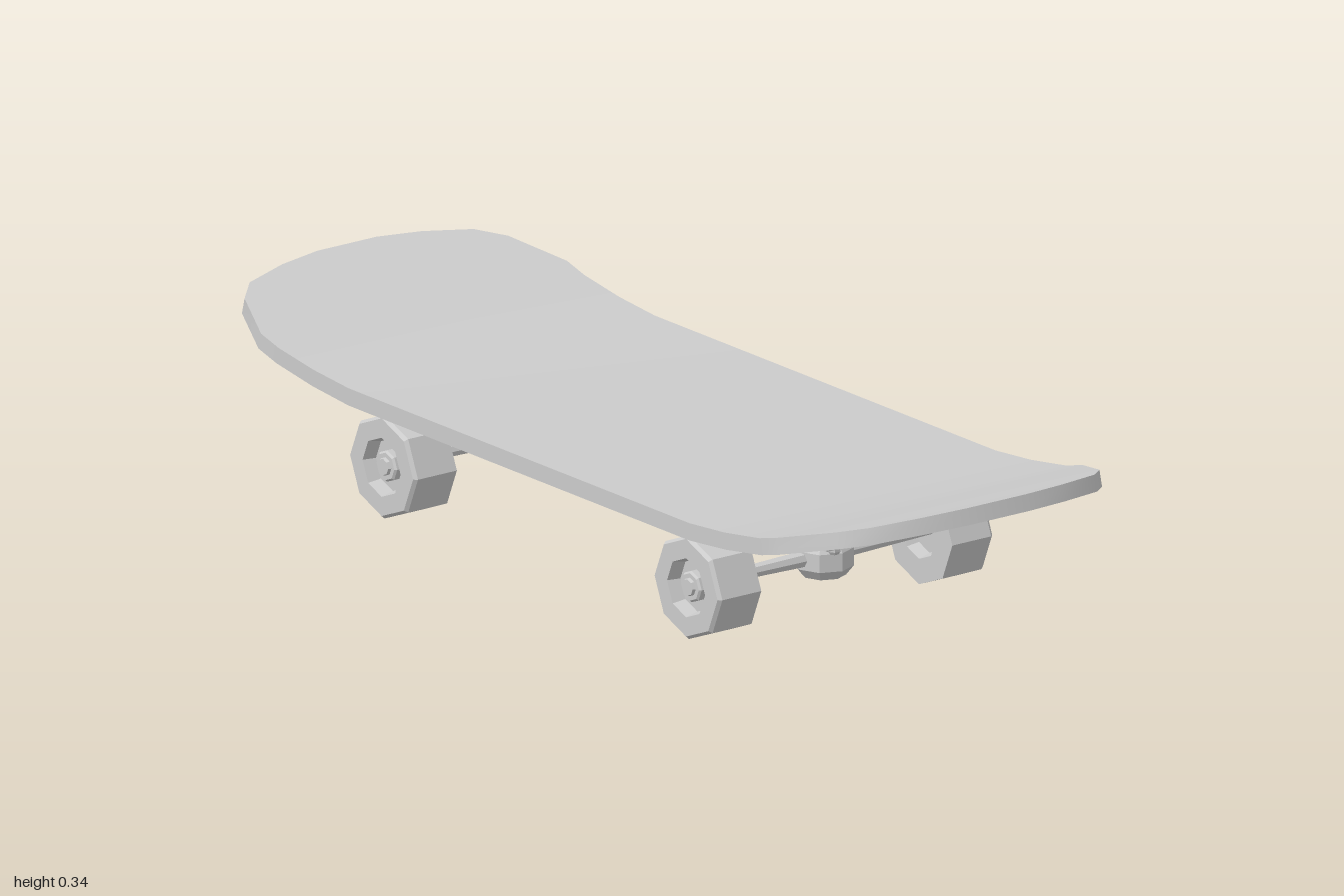
import * as THREE from 'three';
import { toCreasedNormals } from 'three/addons/utils/BufferGeometryUtils.js';

const smooth = new THREE.MeshStandardMaterial({ color: 0xcccccc });
const flat = new THREE.MeshStandardMaterial({ color: 0xcccccc, flatShading: true });

function add(parent, name, geometry, x = 0, y = 0, z = 0, material = flat) {
  const mesh = new THREE.Mesh(geometry, material);
  mesh.name = name;
  mesh.position.set(x, y, z);
  parent.add(mesh);
  return mesh;
}

function lathe(points, sides) {
  return new THREE.LatheGeometry(points.map(p => new THREE.Vector2(...p)), sides);
}

// Deck: four-cornered sections along x, narrowing and curling up at both ends
function deckGeometry() {
  // x, half width, underside height, inward shift of the top edge
  const half = [
    [0.52, 0.362, 0.217, 0], [0.63, 0.362, 0.227, 0.003], [0.74, 0.362, 0.244, 0.006],
    [0.795, 0.362, 0.259, 0.008], [0.91, 0.312, 0.289, 0.008], [0.955, 0.265, 0.300, 0.008],
    [0.985, 0.165, 0.308, 0.008], [1.0, 0.07, 0.312, 0.008],
  ];
  const sections = [...half.map(([x, ...r]) => [-x, ...r]).reverse(), ...half];
  const pos = [], index = [];
  sections.forEach(([x, w, y, shift], i) => {
    const xt = x - Math.sign(x) * shift, yt = y + 0.034 - shift * 0.35;
    pos.push(xt, yt, w, xt, yt, -w, x, y, -w, x, y, w);
    if (i === sections.length - 1) return;
    for (let k = 0; k < 4; k++) {
      const a = i * 4 + k, b = i * 4 + (k + 1) % 4;
      index.push(a, a + 4, b + 4, a, b + 4, b);
    }
  });
  const e = (sections.length - 1) * 4;
  index.push(0, 1, 2, 0, 2, 3, e, e + 2, e + 1, e, e + 3, e + 2);
  const g = new THREE.BufferGeometry();
  g.setAttribute('position', new THREE.Float32BufferAttribute(pos, 3));
  g.setIndex(index);
  return toCreasedNormals(g, 0.6);
}

// Wheel along +z from its inner face, dished on both sides
function wheel() {
  const g = new THREE.Group();
  g.name = 'wheel';
  const tyre = lathe([[0, 0.025], [0.045, 0.025], [0.052, 0], [0.102, 0], [0.102, 0.092],
    [0.096, 0.099], [0.058, 0.099], [0.052, 0.072], [0, 0.072]], 8).rotateX(Math.PI / 2);
  add(g, 'tyre', tyre);
  const nut = lathe([[0, 0.07], [0.031, 0.07], [0.031, 0.086], [0.027, 0.09], [0.018, 0.09],
    [0.016, 0.096], [0, 0.096]], 8).rotateX(Math.PI / 2);
  add(g, 'axleNut', nut);
  return g;
}

function truck() {
  const g = new THREE.Group();
  g.name = 'truck';
  // Stepped mounting plate
  add(g, 'basePlate', new THREE.BoxGeometry(0.418, 0.017, 0.316), 0, 0.2035, 0);
  add(g, 'basePlateStep', new THREE.BoxGeometry(0.386, 0.01, 0.284), 0, 0.19, 0);
  for (const x of [-0.168, 0.168]) for (const z of [-0.105, 0.105]) {
    add(g, 'bolt', lathe([[0, 0], [0.009, 0], [0.013, 0.006], [0.013, 0.018], [0, 0.018]], 6), x, 0.168, z);
  }
  // Kingpin post, hanger body and kingpin nut
  add(g, 'post', new THREE.CylinderGeometry(0.046, 0.046, 0.05, 6).rotateY(Math.PI / 2), 0, 0.165, 0);
  add(g, 'hangerBody', lathe([[0, 0.066], [0.043, 0.066], [0.058, 0.085], [0.058, 0.12],
    [0.042, 0.145], [0, 0.145]], 8));
  add(g, 'kingpinNut', new THREE.CylinderGeometry(0.02, 0.02, 0.008, 6), 0, 0.064, 0);
  // Mirrored tapering axle arms and wheels
  for (const s of [1, -1]) {
    const side = new THREE.Group();
    side.name = s > 0 ? 'frontSide' : 'backSide';
    side.rotation.y = s > 0 ? 0 : Math.PI;
    add(side, 'axleArm', new THREE.CylinderGeometry(0.011, 0.017, 0.23, 8).rotateX(Math.PI / 2), 0, 0.104, 0.145);
    const w = wheel();
    w.position.set(0, 0.102, 0.226);
    side.add(w);
    g.add(side);
  }
  return g;
}

export function createModel() {
  const model = new THREE.Group();
  model.name = 'skateboard';
  add(model, 'deck', deckGeometry(), 0, 0, 0, smooth);
  for (const x of [-0.467, 0.462]) {
    const t = truck();
    t.position.x = x;
    model.add(t);
  }
  return model;
}
